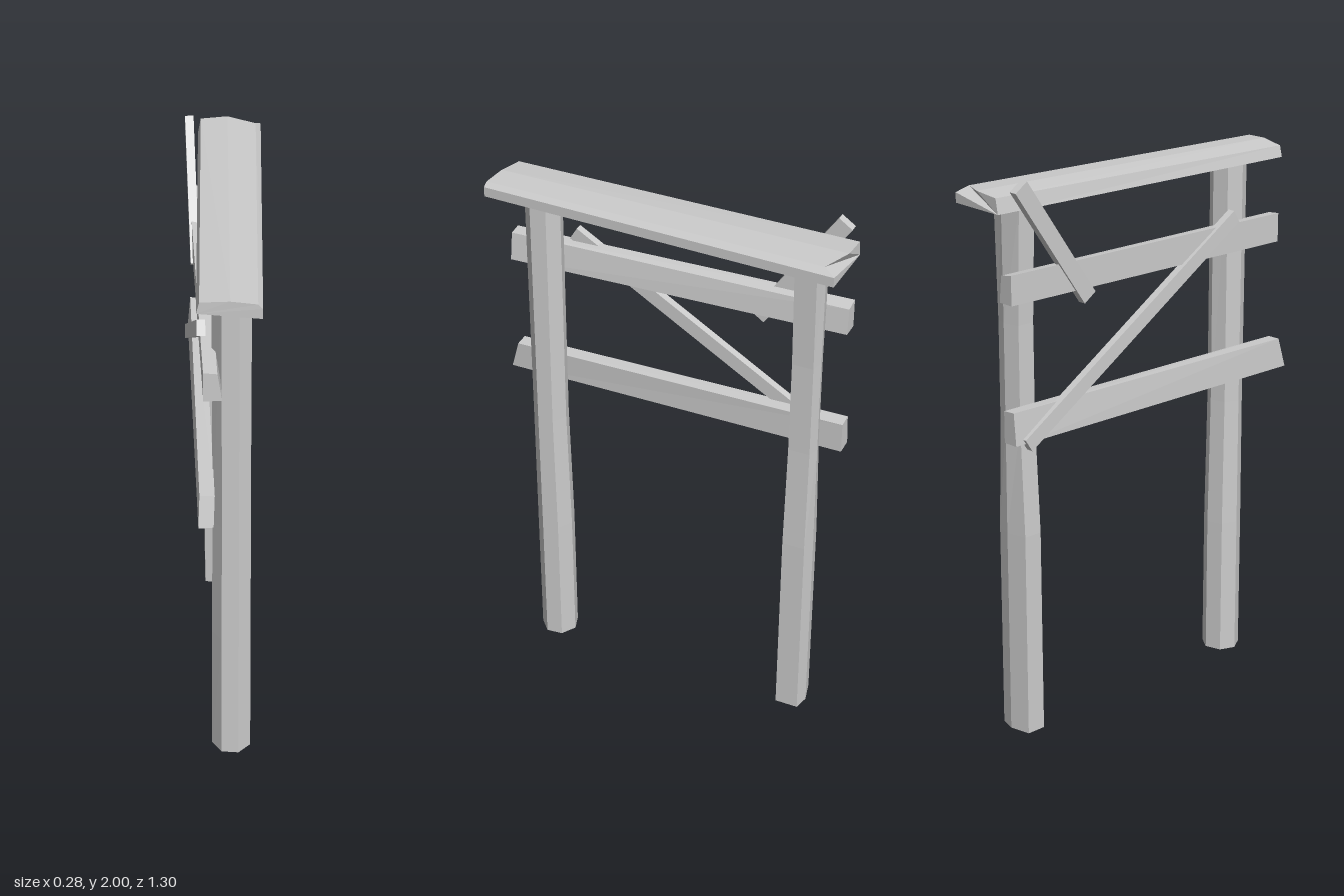
import * as THREE from 'three';

const material = new THREE.MeshStandardMaterial({ color: 0xcccccc, flatShading: true });

// Capped, faceted solid through a list of rings of [x, y, z]
function loft(name, rings) {
  const tris = [];
  const n = rings[0].length;
  for (let r = 0; r < rings.length - 1; r++) {
    for (let i = 0; i < n; i++) {
      const j = (i + 1) % n;
      const a = rings[r][i], b = rings[r][j], c = rings[r + 1][j], d = rings[r + 1][i];
      tris.push([a, b, c], [a, c, d]);
    }
  }
  const first = rings[0], last = rings[rings.length - 1];
  for (let i = 1; i < n - 1; i++) {
    tris.push([first[0], first[i + 1], first[i]], [last[0], last[i], last[i + 1]]);
  }
  // Turn all faces outward, whichever way the rings run
  const v = (p) => new THREE.Vector3(...p);
  const volume = tris.reduce((s, [a, b, c]) => s + v(a).dot(v(b).cross(v(c))), 0);
  if (volume < 0) tris.forEach((t) => t.reverse());
  const geometry = new THREE.BufferGeometry();
  geometry.setAttribute('position', new THREE.Float32BufferAttribute(tris.flat(2), 3));
  geometry.computeVertexNormals();
  const mesh = new THREE.Mesh(geometry, material);
  mesh.name = name;
  return mesh;
}

// Post from an [x, z] outline, with levels of [y, centreX, centreZ, scaleX, scaleZ]
function post(name, outline, levels) {
  return loft(name, levels.map(([y, cx, cz, sx, sz]) =>
    outline.map(([x, z]) => [cx + x * sx, y, cz + z * sz])));
}

// Slat running in the z-y plane; ends are [x, y, z]
function slat(name, a, b, width, depth) {
  const along = new THREE.Vector2(b[2] - a[2], b[1] - a[1]).normalize();
  const corners = [[-1, -1], [1, -1], [1, 1], [-1, 1]];
  return loft(name, [a, b].map(([x, y, z]) => corners.map(([s, t]) => [
    x + s * depth / 2,
    y + t * along.x * width / 2,
    z - t * along.y * width / 2,
  ])));
}

export function createModel() {
  const group = new THREE.Group();

  // Seven-sided front post
  const heptagon = Array.from({ length: 7 }, (_, i) => {
    const a = THREE.MathUtils.degToRad(18.5) + i * Math.PI * 2 / 7;
    return [Math.sin(a), Math.cos(a)];
  });
  group.add(post('frontPost', heptagon, [
    [0, -0.008, 0.457, 0.071, 0.069],
    [0.52, -0.008, 0.457, 0.07, 0.069],
    [1.0, -0.007, 0.461, 0.066, 0.064],
    [1.9, -0.008, 0.46, 0.066, 0.066],
  ]));

  // Six-sided back post, narrowed at mid height
  const hexagon = [[0.055, 0.045], [0.055, -0.04], [0, -0.053], [-0.075, -0.035], [-0.075, 0.035], [0, 0.05]];
  group.add(post('backPost', hexagon, [
    [0, 0, -0.52, 1, 1],
    [0.75, 0, -0.52, 1, 0.97],
    [1.15, 0, -0.52, 0.76, 0.92],
    [1.5, 0, -0.52, 0.76, 0.9],
    [1.9, 0, -0.52, 0.95, 0.92],
  ]));

  // Cap plank with a shallow bevelled top
  group.add(loft('capPlank', [
    [[-0.125, 1.895, 0.61], [0.08, 1.89, 0.64], [0.08, 1.925, 0.64], [0.065, 1.94, 0.637], [-0.02, 1.945, 0.625], [-0.115, 1.935, 0.61]],
    [[-0.085, 1.897, -0.65], [0.138, 1.895, -0.645], [0.138, 1.93, -0.645], [0.118, 1.95, -0.605], [0.02, 1.957, -0.65], [-0.075, 1.95, -0.65]],
  ]));

  // Two horizontal rails on the side of the posts
  group.add(loft('upperRail', [
    [[-0.105, 1.58, 0.62], [-0.045, 1.58, 0.62], [-0.06, 1.68, 0.62], [-0.105, 1.685, 0.62]],
    [[-0.12, 1.597, -0.63], [-0.06, 1.597, -0.63], [-0.07, 1.69, -0.63], [-0.12, 1.7, -0.63]],
  ]));
  group.add(loft('lowerRail', [
    [[-0.125, 1.105, 0.652], [-0.075, 1.108, 0.652], [-0.07, 1.213, 0.622], [-0.12, 1.215, 0.622]],
    [[-0.13, 1.115, -0.63], [-0.07, 1.113, -0.63], [-0.07, 1.225, -0.63], [-0.12, 1.23, -0.63]],
  ]));

  // Long diagonal brace and short broken slat
  group.add(slat('longBrace', [-0.105, 1.715, 0.395], [-0.128, 1.11, -0.585], 0.052, 0.028));
  const short = slat('shortSlat', [-0.108, 1.56, -0.295], [-0.117, 1.985, -0.59], 0.058, 0.03);
  group.add(short);

  return group;
}
